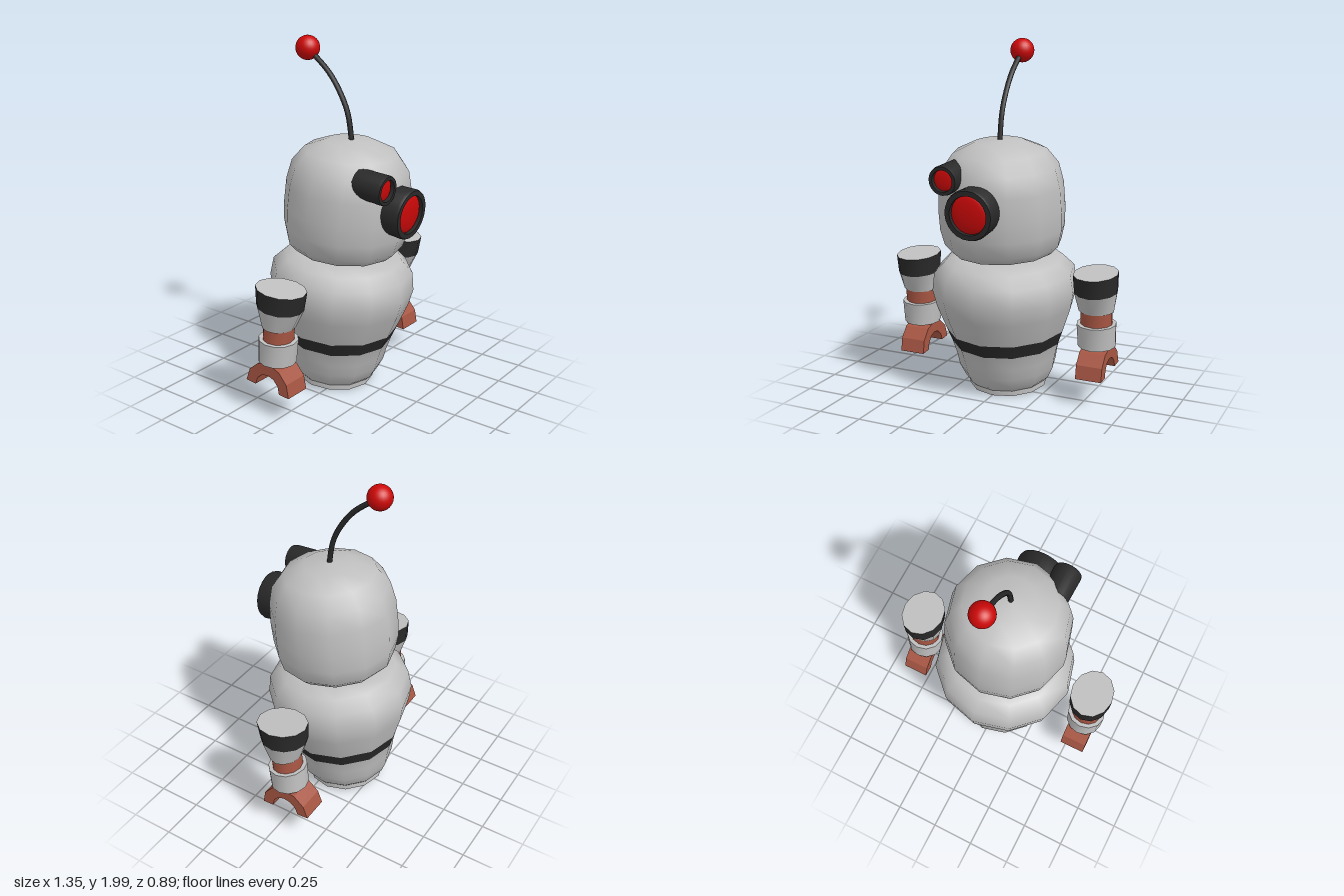
import * as THREE from 'three';
import { toCreasedNormals } from 'three/addons/utils/BufferGeometryUtils.js';

const TILT = 0.0873; // the whole robot leans slightly forward

const mat = (name, color) => {
  const m = new THREE.MeshStandardMaterial({ color });
  m.name = name;
  return m;
};

export function createModel() {
  const shell = mat('light grey shell', 0xc0c0c0);
  const black = mat('black rubber', 0x292929);
  const red = mat('red glass', 0xcc0808);
  const brick = mat('brick metal', 0xa85643);

  const add = (parent, name, geometry, material) => {
    const m = new THREE.Mesh(geometry, material);
    m.name = name;
    parent.add(m);
    return m;
  };
  const points = (list) => list.map(([r, y]) => new THREE.Vector2(r, y));

  const robot = new THREE.Group();
  robot.name = 'robot';
  const trunk = new THREE.Group();
  trunk.name = 'trunk';
  trunk.position.set(0, 0.03, -0.08);
  trunk.rotation.x = TILT;
  robot.add(trunk);

  // Body: one smooth twelve-sided lathe, with the belt as a material group
  const bodyProfile = points([
    [0.225, 0.03], [0.25, 0.055], [0.28, 0.12], [0.293, 0.19], [0.315, 0.27], [0.345, 0.35],
    [0.395, 0.49], [0.415, 0.585], [0.4, 0.69], [0.335, 0.755], [0.25, 0.785], [0, 0.8],
  ]);
  const body = new THREE.LatheGeometry(bodyProfile, 12);
  const rows = bodyProfile.length - 1, belt = 4;
  for (let i = 0; i < 12; i++) {
    const start = i * rows * 6;
    body.addGroup(start, belt * 6, 0);
    body.addGroup(start + belt * 6, 6, 1);
    body.addGroup(start + (belt + 1) * 6, (rows - belt - 1) * 6, 0);
  }
  add(trunk, 'body', body, [shell, black]);

  // Foot rim with a shallow recess underneath
  const rim = new THREE.LatheGeometry(points([
    [0, 0.02], [0.175, 0.02], [0.185, 0], [0.225, 0], [0.225, 0.035],
  ]), 12);
  add(trunk, 'footRim', toCreasedNormals(rim, 0.6), shell);

  // Head
  add(trunk, 'head', new THREE.LatheGeometry(points([
    [0, 0.775], [0.19, 0.78], [0.285, 0.805], [0.33, 0.85], [0.352, 0.94], [0.356, 1.05],
    [0.35, 1.18], [0.325, 1.29], [0.26, 1.375], [0.14, 1.428], [0, 1.437],
  ]), 12), shell);

  // Eyes: a black barrel with a recessed red dome
  const eye = (name, x, y, front, r, lensR, length) => {
    const g = new THREE.Group();
    g.name = name;
    g.position.set(x, y, front);
    g.rotation.x = Math.PI / 2;
    const barrel = new THREE.LatheGeometry(points([
      [r * 0.96, -length], [r, -0.015], [r * 0.96, 0], [lensR, 0], [lensR, -0.03],
    ]), 24);
    add(g, 'eyeBarrel', toCreasedNormals(barrel, 0.6), black);
    const lens = add(g, 'eyeLens', new THREE.SphereGeometry(lensR, 24, 8, 0, Math.PI * 2, 0, Math.PI / 2), red);
    lens.scale.y = 0.22;
    lens.position.y = -0.025;
    trunk.add(g);
  };
  eye('mainEye', 0, 1.116, 0.424, 0.14, 0.107, 0.14);
  eye('smallEye', -0.17, 1.277, 0.37, 0.082, 0.06, 0.18);

  // Antenna sweeping backwards, with a red ball
  const path = new THREE.CatmullRomCurve3([
    [0.042, 1.42], [0.038, 1.48], [0.016, 1.6], [-0.03, 1.7], [-0.11, 1.81], [-0.255, 1.93],
  ].map(([z, y]) => new THREE.Vector3(0, y, z)));
  add(robot, 'antenna', new THREE.TubeGeometry(path, 20, 0.015, 8), black);
  add(robot, 'antennaBall', new THREE.SphereGeometry(0.068, 24, 16), red).position.set(0, 1.932, -0.257);

  // Elliptical twelve-sided section between two heights
  const section = (y0, [x0, z0], y1, [x1, z1]) => {
    const geo = new THREE.CylinderGeometry(1, 1, y1 - y0, 12);
    geo.translate(0, (y0 + y1) / 2, 0);
    const p = geo.attributes.position;
    for (let i = 0; i < p.count; i++) {
      const top = p.getY(i) > (y0 + y1) / 2;
      p.setX(i, p.getX(i) * (top ? x1 : x0));
      p.setZ(i, p.getZ(i) * (top ? z1 : z0));
    }
    return toCreasedNormals(geo, 0.75);
  };

  // Claw: half ring opening downwards
  const clawShape = new THREE.Shape();
  const arc = (r, from, step) => Array.from({ length: 7 }, (_, i) => {
    const a = ((from + step * i) * Math.PI) / 6;
    return new THREE.Vector2(r * Math.cos(a), r * Math.sin(a));
  });
  clawShape.setFromPoints([...arc(0.15, 0, 1), ...arc(0.083, 6, -1)]);
  const claw = new THREE.ExtrudeGeometry(clawShape, { depth: 0.15, bevelEnabled: false });
  claw.translate(0, 0, -0.075);
  claw.rotateY(Math.PI / 2);

  // Floating arms, built upwards from the claw centre
  for (const [side, name] of [[1, 'leftArm'], [-1, 'rightArm']]) {
    const arm = new THREE.Group();
    arm.name = name;
    arm.position.set(side * 0.553, 0.18, -0.06);
    arm.rotation.x = TILT;
    add(arm, 'claw', claw, brick);
    add(arm, 'wrist', section(0.155, [0.107, 0.105], 0.285, [0.112, 0.107]), shell);
    add(arm, 'neck', section(0.28, [0.09, 0.083], 0.37, [0.09, 0.083]), brick);
    add(arm, 'cuff', section(0.36, [0.1, 0.088], 0.47, [0.119, 0.135]), shell);
    add(arm, 'shoulderBand', section(0.47, [0.119, 0.135], 0.577, [0.123, 0.148]), [black, shell, black]);
    robot.add(arm);
  }

  return robot;
}
